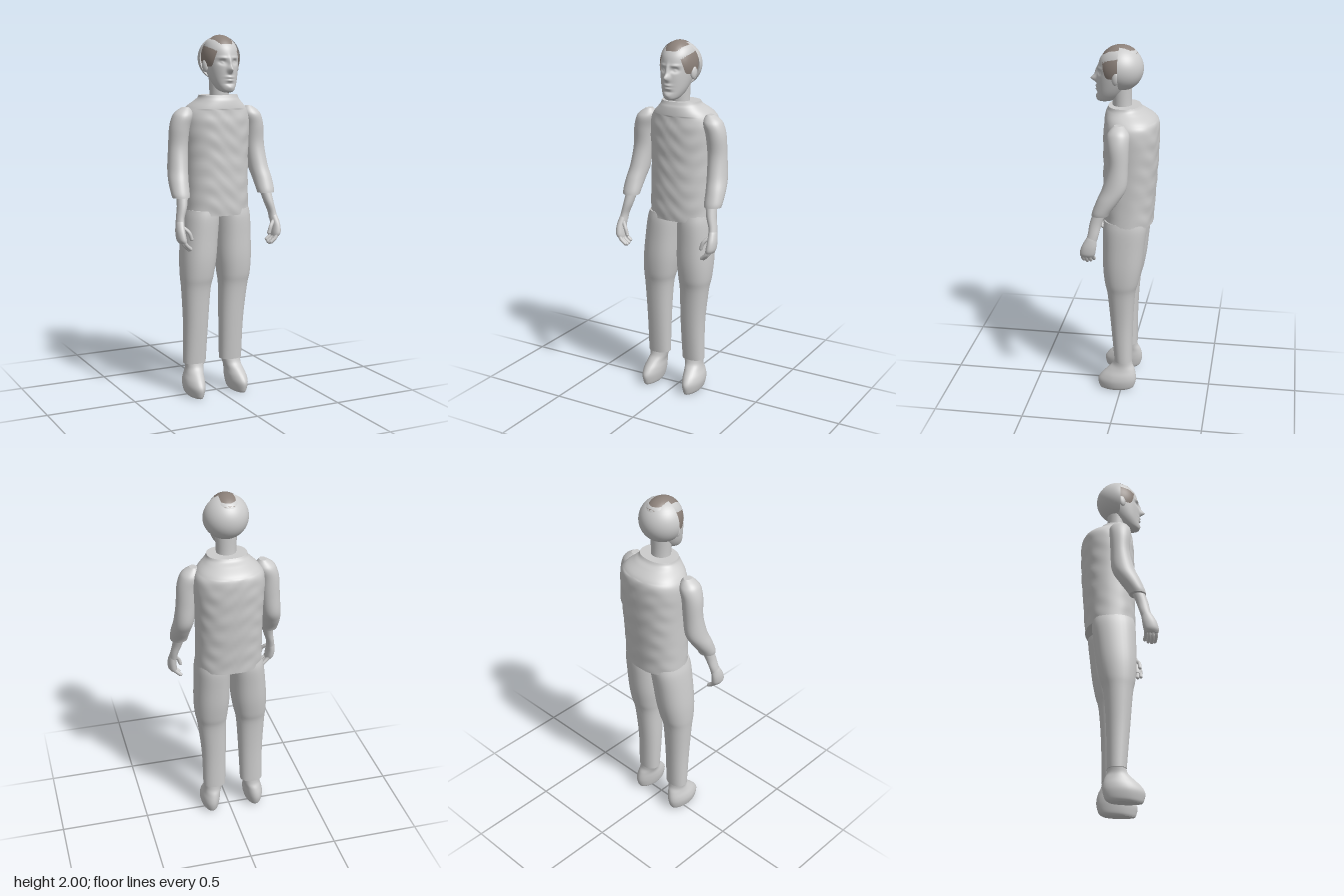
import * as THREE from 'three';

const clothGrey = new THREE.MeshStandardMaterial({ color: 0xcccccc, side: THREE.DoubleSide });
clothGrey.name = 'light grey';
const hairBrown = new THREE.MeshStandardMaterial({ color: 0x8c817a, side: THREE.DoubleSide });
hairBrown.name = 'hair brown';

// Cubic interpolation through four neighbouring values
function cubic(a, b, c, d, t) {
  const m0 = (c - a) / 2, m1 = (d - b) / 2;
  return b + t * (m0 + t * (3 * (c - b) - 2 * m0 - m1 + t * (2 * (b - c) + m0 + m1)));
}

// Smooth body from rings [y, x, z, radiusX, radiusZ], listed bottom to top, with flat end caps
function loft(rings, { sides = 32, steps = 5, power = 1, bend = null } = {}) {
  const rows = [];
  const at = i => rings[Math.max(0, Math.min(rings.length - 1, i))];
  for (let i = 0; i < rings.length - 1; i++) {
    for (let k = 0; k < steps; k++) {
      rows.push(rings[i].map((v, n) => cubic(at(i - 1)[n], v, at(i + 1)[n], at(i + 2)[n], k / steps)));
    }
  }
  rows.push(rings[rings.length - 1]);
  const pos = [], index = [];
  const ring = ([y, x, z, rx, rz]) => {
    for (let j = 0; j < sides; j++) {
      const a = j / sides * Math.PI * 2, c = Math.cos(a), s = Math.sin(a);
      const p = new THREE.Vector3(
        x + rx * Math.sign(c) * Math.abs(c) ** power, y, z + rz * Math.sign(s) * Math.abs(s) ** power);
      if (bend) bend(p);
      pos.push(p.x, p.y, p.z);
    }
  };
  rows.forEach(ring);
  for (let i = 0; i < rows.length - 1; i++) {
    for (let j = 0; j < sides; j++) {
      const a = i * sides + j, b = i * sides + (j + 1) % sides;
      index.push(a, a + sides, b + sides, a, b + sides, b);
    }
  }
  [rows[0], rows[rows.length - 1]].forEach((row, top) => {
    const start = pos.length / 3;
    ring(row);
    pos.push(row[1], row[0], row[2]);
    for (let j = 0; j < sides; j++) {
      const a = start + j, b = start + (j + 1) % sides;
      index.push(start + sides, top ? b : a, top ? a : b);
    }
  });
  const g = new THREE.BufferGeometry();
  g.setAttribute('position', new THREE.Float32BufferAttribute(pos, 3));
  g.setIndex(index);
  g.computeVertexNormals();
  return g;
}

function add(parent, name, geometry, material = clothGrey) {
  const mesh = new THREE.Mesh(geometry, material);
  mesh.name = name;
  parent.add(mesh);
  return mesh;
}

// Rings [y, distance from middle, z, rx, rz, middle] placed on one side of the body
const onSide = (s, rings) => rings.map(([y, d, z, rx, rz, mid = 0.003]) => [y, mid + s * d, z, rx, rz]);

// Raises and hollows that shape the face: [x, y, width, height, depth]
const features = [
  [0, 1.815, 0.013, 0.017, 0.032], [0, 1.85, 0.009, 0.03, 0.014],
  [-0.036, 1.855, 0.018, 0.012, -0.016], [0.036, 1.855, 0.018, 0.012, -0.016],
  [-0.036, 1.854, 0.009, 0.006, 0.009], [0.036, 1.854, 0.009, 0.006, 0.009],
  [-0.036, 1.878, 0.024, 0.007, 0.005], [0.036, 1.878, 0.024, 0.007, 0.005],
  [0, 1.775, 0.022, 0.007, 0.01], [0, 1.758, 0.02, 0.006, 0.009],
  [0, 1.74, 0.025, 0.006, -0.005], [0, 1.72, 0.02, 0.012, 0.005],
];
function shapeFace(p) {
  if (p.z < 0.06) return;
  for (const [x, y, w, h, depth] of features) {
    p.z += depth * Math.exp(-(((p.x - 0.012 - x) / w) ** 2) - ((p.y - y) / h) ** 2);
  }
}

// Faint cloth ripples
function ripple(p) {
  const w = 0.0025 * Math.sin(p.y * 62 + 3 * Math.sin(p.x * 17)) * Math.sin(p.x * 31 + p.y * 9);
  if (p.y < 1.6) p.z += w;
}

function makeHead() {
  const head = new THREE.Group();
  head.name = 'head';
  add(head, 'neck', loft([
    [1.58, 0.012, 0.0, 0.058, 0.056], [1.68, 0.012, 0.008, 0.054, 0.052], [1.79, 0.012, 0.01, 0.06, 0.055],
  ]));
  add(head, 'face', loft([
    [1.692, 0.012, 0.11, 0.01, 0.015], [1.70, 0.012, 0.1, 0.034, 0.042], [1.72, 0.012, 0.082, 0.052, 0.064],
    [1.76, 0.012, 0.06, 0.07, 0.083], [1.82, 0.012, 0.035, 0.084, 0.108], [1.88, 0.012, 0.022, 0.09, 0.115],
    [1.93, 0.012, 0.018, 0.087, 0.105], [1.97, 0.012, 0.012, 0.066, 0.076], [1.99, 0.012, 0.012, 0.025, 0.03],
  ], { sides: 96, steps: 12, bend: shapeFace }));

  // Half shell around the back of the head, open to the front
  const back = add(head, 'backOfHead', new THREE.SphereGeometry(1, 32, 24, Math.PI, Math.PI));
  back.scale.set(0.122, 0.121, 0.124);
  back.position.set(0.013, 1.875, 0.018);

  for (const s of [-1, 1]) {
    const ear = add(head, 'ear', new THREE.SphereGeometry(1, 16, 12));
    ear.scale.set(0.012, 0.034, 0.021);
    ear.position.set(0.012 + s * 0.095, 1.835, 0.03);
    ear.rotation.set(-0.15, s * -0.3, 0);
  }

  // Hair cap whose lower edge is high at front and back and low at the temples
  const hair = new THREE.SphereGeometry(1, 64, 20, 0, Math.PI * 2, 0, 1);
  const p = hair.attributes.position;
  for (let i = 0; i < p.count; i++) {
    const ang = Math.atan2(p.getZ(i), p.getX(i));
    const polar = Math.acos(Math.min(1, p.getY(i)));
    const front = Math.sin(ang);
    const jag = 0.03 * Math.sin(ang * 19);
    const edge = front > 0
      ? 1.85 - 0.95 * THREE.MathUtils.smoothstep(front, 0.55, 0.95)
      : 1.85 - 1.05 * THREE.MathUtils.smoothstep(-front, 0, 0.8) + jag;
    const t = polar * edge;
    p.setXYZ(i, 0.012 + 0.1 * Math.sin(t) * Math.cos(ang), 1.868 + 0.132 * Math.cos(t),
      0.014 + 0.122 * Math.sin(t) * front);
  }
  hair.computeVertexNormals();
  add(head, 'hair', hair, hairBrown);
  return head;
}

function makeArm(s) {
  const arm = new THREE.Group();
  arm.name = s > 0 ? 'leftArm' : 'rightArm';
  add(arm, 'sleeve', loft(onSide(s, [
    [1.135, 0.258, 0.09, 0.047, 0.046], [1.16, 0.258, 0.08, 0.051, 0.05], [1.22, 0.254, 0.047, 0.054, 0.06],
    [1.29, 0.244, 0.014, 0.055, 0.064], [1.4, 0.234, -0.002, 0.054, 0.054], [1.5, 0.226, -0.001, 0.056, 0.058],
    [1.56, 0.21, 0, 0.056, 0.06], [1.59, 0.2, 0, 0.046, 0.046], [1.613, 0.19, 0, 0.02, 0.025],
  ])));
  add(arm, 'forearm', loft(onSide(s, [
    [0.99, 0.284, 0.135, 0.023, 0.03], [1.03, 0.279, 0.124, 0.022, 0.03],
    [1.09, 0.263, 0.112, 0.027, 0.033], [1.17, 0.25, 0.085, 0.033, 0.036],
  ]), { sides: 20 }));
  add(arm, 'palm', loft(onSide(s, [
    [0.9, 0.28, 0.158, 0.02, 0.036], [0.92, 0.286, 0.156, 0.025, 0.042], [0.96, 0.289, 0.147, 0.024, 0.04],
    [1.0, 0.285, 0.135, 0.022, 0.031], [1.02, 0.281, 0.128, 0.019, 0.026],
  ]), { sides: 20 }));
  // Fingers curl inward and down; the thumb hangs on the inside front
  const digit = (name, points, r) => {
    const v = points.map(([d, y, z]) => new THREE.Vector3(0.003 + s * d, y, z));
    add(arm, name, new THREE.TubeGeometry(new THREE.CatmullRomCurve3(v), 10, r, 8));
    const tip = add(arm, name + 'Tip', new THREE.SphereGeometry(r, 8, 6));
    tip.position.copy(v[v.length - 1]);
  };
  for (let i = 0; i < 4; i++) {
    const z = 0.129 + i * 0.018, drop = [0.014, 0.004, 0, 0.006][i];
    digit('finger', [[0.283, 0.915, z], [0.27, 0.885 + drop, z + 0.002], [0.245, 0.862 + drop, z - 0.001]], 0.0105);
  }
  digit('thumb', [[0.277, 0.985, 0.15], [0.248, 0.955, 0.172], [0.235, 0.92, 0.175]], 0.0105);
  return arm;
}

function makeLeg(s) {
  const leg = new THREE.Group();
  leg.name = s > 0 ? 'leftLeg' : 'rightLeg';
  add(leg, 'trouserLeg', loft(onSide(s, [
    [0.18, 0.1125, -0.01, 0.065, 0.051, -0.022], [0.4, 0.11, -0.002, 0.07, 0.062, -0.02],
    [0.6, 0.114, 0, 0.081, 0.077, -0.014], [0.68, 0.113, -0.002, 0.092, 0.094, -0.009],
    [0.78, 0.108, -0.007, 0.1, 0.108, -0.005], [0.9, 0.102, -0.014, 0.1, 0.115, 0],
    [1.0, 0.096, -0.02, 0.098, 0.12, 0.005], [1.05, 0.092, -0.022, 0.092, 0.115, 0.008],
  ]), { power: 0.9 }));
  add(leg, 'shoe', loft(onSide(s, [
    [0, 0.132, 0.035, 0.036, 0.085, -0.02], [0.015, 0.133, 0.028, 0.046, 0.1, -0.02],
    [0.055, 0.133, 0.025, 0.055, 0.11, -0.02], [0.09, 0.13, 0.015, 0.055, 0.1, -0.02],
    [0.125, 0.124, 0.002, 0.05, 0.078, -0.02], [0.155, 0.117, -0.006, 0.052, 0.056, -0.02],
    [0.19, 0.1125, -0.01, 0.06, 0.048, -0.022],
  ]), { bend: p => { // toes taper toward the front
    const mid = -0.02 + s * 0.133, toe = Math.max(0, p.z - 0.05);
    p.x = mid + (p.x - mid) * (1 - toe * 2);
  } }));
  return leg;
}

export function createModel() {
  const model = new THREE.Group();
  model.name = 'standingPerson';
  add(model, 'shirt', loft([
    [1.02, 0.009, -0.027, 0.186, 0.137], [1.15, 0.009, -0.031, 0.183, 0.142], [1.35, 0.011, -0.04, 0.185, 0.147],
    [1.5, 0.012, -0.043, 0.192, 0.15], [1.57, 0.012, -0.045, 0.188, 0.147], [1.61, 0.012, -0.038, 0.165, 0.138],
    [1.645, 0.012, -0.018, 0.127, 0.112], [1.662, 0.012, -0.008, 0.113, 0.094], [1.677, 0.012, -0.005, 0.108, 0.085],
  ], { sides: 64, steps: 10, power: 0.88, bend: ripple }));
  model.add(makeHead());
  for (const s of [-1, 1]) model.add(makeArm(s), makeLeg(s));
  return model;
}
